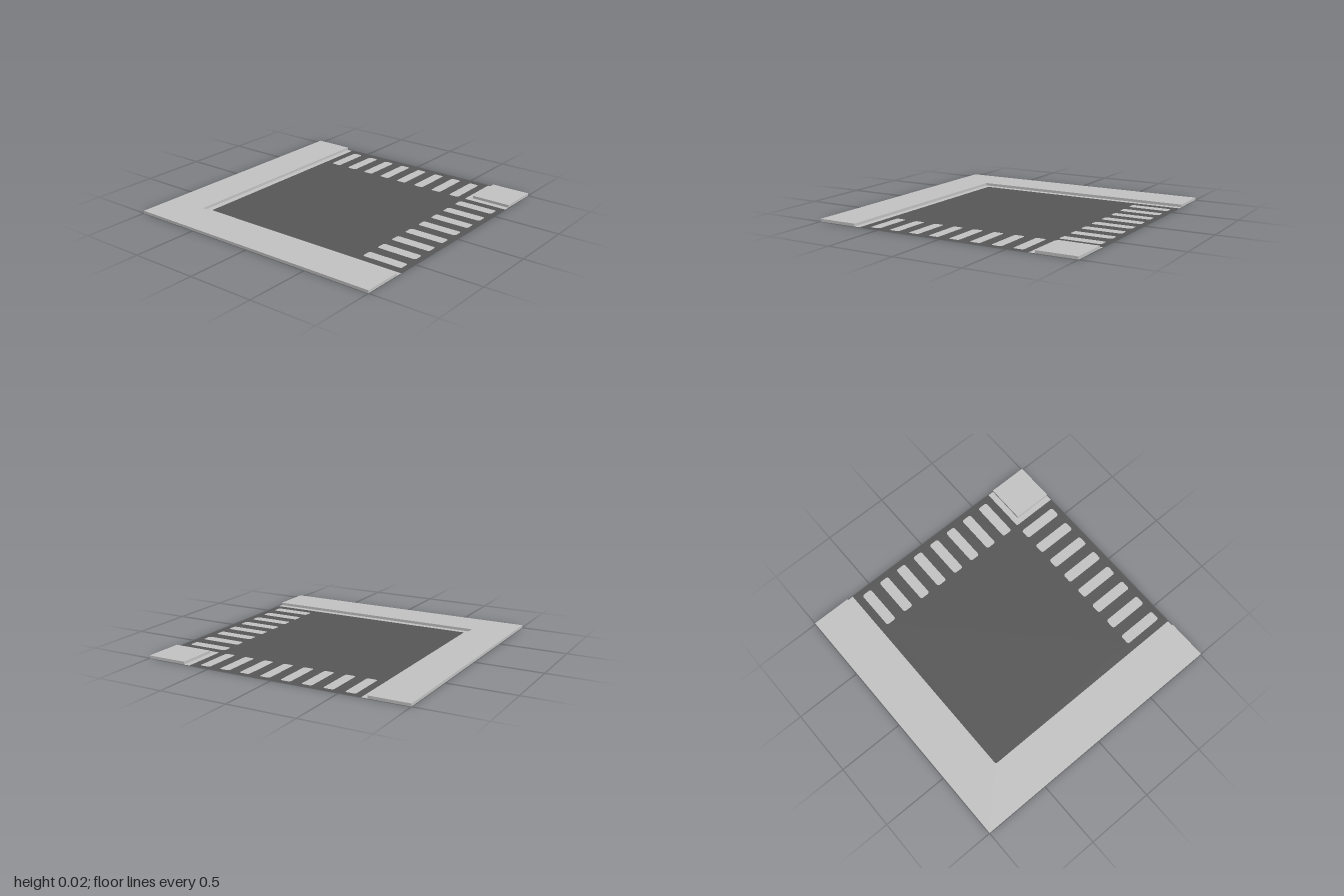
import * as THREE from 'three';

const H = 0.02;      // kerb height
const ROAD = 0.658;  // edge of the asphalt
const KERB = 0.703;  // edge of the raised pavement

// Outlines are drawn as [x, z] and laid flat, so shape y is -z.
function outline(points) {
  return new THREE.Shape(points.map(([x, z]) => new THREE.Vector2(x, -z)));
}

// Rounded rectangle for a crossing stripe
function stripeShape(cx, cz, w, d, r = 0.017) {
  const a = w / 2 - r, b = d / 2 - r, s = new THREE.Shape();
  s.absarc(cx + a, -cz + b, r, 0, Math.PI / 2);
  s.absarc(cx - a, -cz + b, r, Math.PI / 2, Math.PI);
  s.absarc(cx - a, -cz - b, r, Math.PI, Math.PI * 1.5);
  s.absarc(cx + a, -cz - b, r, Math.PI * 1.5, Math.PI * 2);
  s.closePath();
  return s;
}

export function createModel() {
  const group = new THREE.Group();
  const paving = new THREE.MeshStandardMaterial({ name: 'palePaving', color: 0xc2c2c2, side: THREE.DoubleSide });
  const asphalt = new THREE.MeshStandardMaterial({ name: 'darkAsphalt', color: 0x565656, side: THREE.DoubleSide });

  const add = (name, geometry, material) => {
    const mesh = new THREE.Mesh(geometry.rotateX(-Math.PI / 2), material);
    mesh.name = name;
    group.add(mesh);
  };
  const flat = (name, shape, material) => add(name, new THREE.ShapeGeometry(shape, 4), material);
  const raised = (name, shape) =>
    add(name, new THREE.ExtrudeGeometry(shape, { depth: H, bevelEnabled: false }), paving);

  // Two rows of crossing stripes, on the front and left arms
  const stripes = [];
  for (let i = 0; i < 8; i++) {
    const t = -0.56 + i * 0.16;
    stripes.push(['frontStripe', stripeShape(t, 0.807, 0.078, 0.304)]);
    stripes.push(['leftStripe', stripeShape(0.807, t, 0.304, 0.078)]);
  }

  // Road surface with the stripes let into it
  const c = 0.008;
  const road = outline([
    [-ROAD, 1], [ROAD, 1], [ROAD, ROAD + c], [ROAD + c, ROAD], [1, ROAD],
    [1, -ROAD], [-ROAD + c, -ROAD], [-ROAD, -ROAD + c],
  ]);
  road.holes = stripes.map(([, s]) => new THREE.Path(s.getPoints(4)));
  flat('road', road, asphalt);
  stripes.forEach(([name, s]) => flat(name, s, paving));

  // Flat gutters between the road and the kerbs
  flat('outerGutter', outline([
    [-KERB, 1], [-ROAD, 1], [-ROAD, -ROAD + c], [-ROAD + c, -ROAD],
    [1, -ROAD], [1, -KERB], [-KERB, -KERB],
  ]), paving);
  flat('cornerGutter', outline([
    [ROAD, 1], [KERB, 1], [KERB, KERB], [1, KERB],
    [1, ROAD], [ROAD + c, ROAD], [ROAD, ROAD + c],
  ]), paving);

  // Raised pavements
  raised('outerPavement', outline([
    [-1, 1], [-KERB, 1], [-KERB, -KERB], [1, -KERB], [1, -1], [-1, -1],
  ]));
  raised('cornerPavement', outline([[KERB, 1], [1, 1], [1, KERB], [KERB, KERB]]));

  return group;
}
